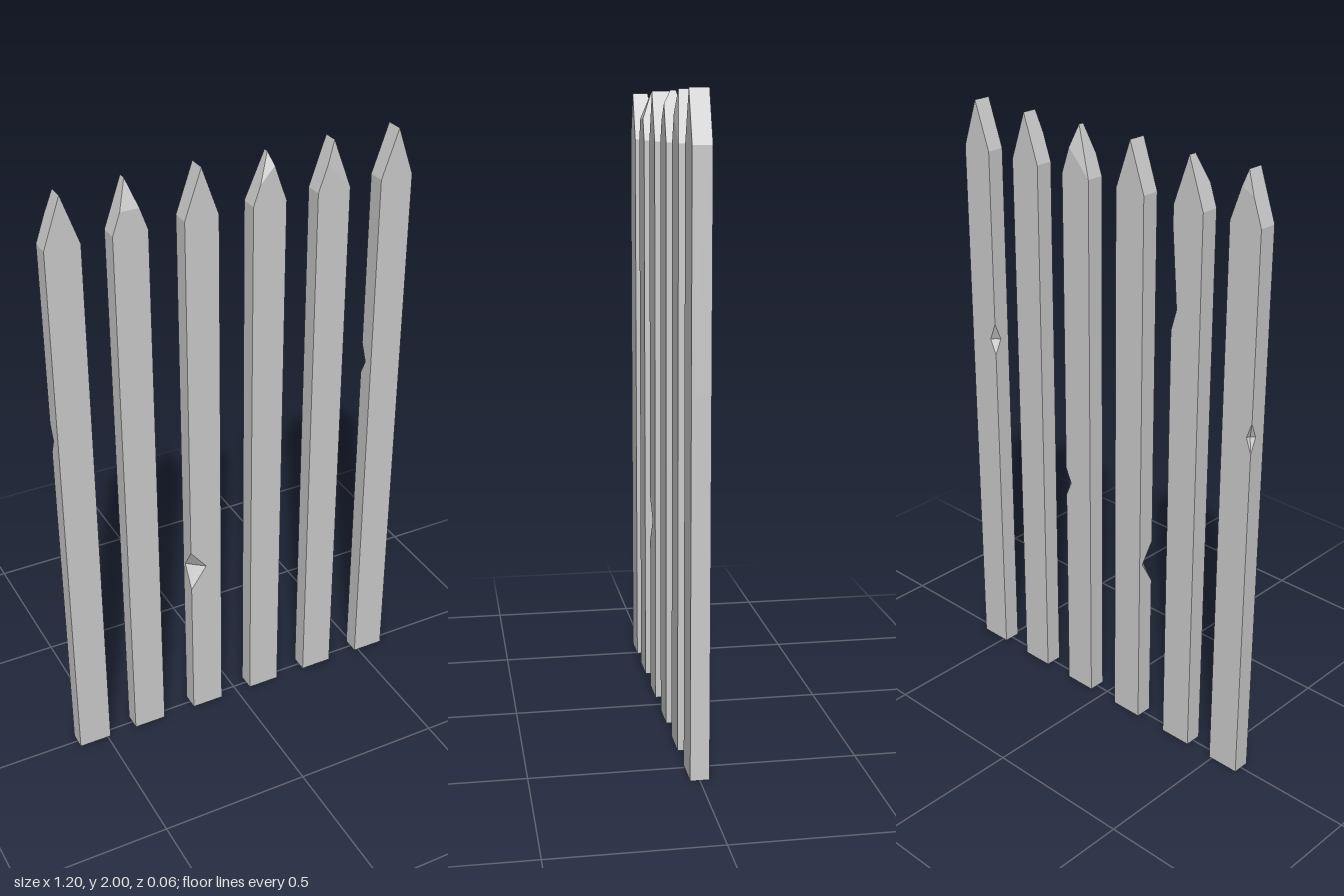
import * as THREE from 'three';
import { ConvexGeometry } from 'three/addons/geometries/ConvexGeometry.js';

const W = 0.055, D = 0.029;          // half width and half depth of a picket
const SHOULDER = 1.845, TOP = 2;

// chip: [z of ridge end, height of chip on the -x slope, height on the +x slope]
// notch: sx, sz pick the edge; y are bottom, deepest and top heights;
// p, q are the reach over the wide and narrow face; inset is the depth in x and z
const PICKETS = [
  { x: -0.545, back: [-0.022, 1.93, 1.95], notch: { sx: -1, sz: -1, y: [1.16, 1.21, 1.26], p: 0.018, q: 0.02, inset: [0.014, 0.012] } },
  { x: -0.34, front: [-0.003, 1.915, 1.915], notch: { sx: 1, sz: -1, y: [1.46, 1.53, 1.78], p: 0.02, q: 0.03, inset: [0.014, 0.014] } },
  { x: -0.117, notch: { sx: -1, sz: 1, y: [0.52, 0.6, 0.67], p: 0.055, q: 0.045, inset: [0.024, 0.024] } },
  { x: 0.105, front: [0.007, 1.91, 1.96], back: [-0.01, SHOULDER, 1.93], notch: { sx: 1, sz: -1, y: [0.74, 0.79, 0.84], p: 0.022, q: 0.026, inset: [0.016, 0.014] } },
  { x: 0.322, front: [0.02, 1.93, SHOULDER] },
  { x: 0.541, notch: { sx: -1, sz: -1, y: [1.15, 1.2, 1.26], p: 0.024, q: 0.024, inset: [0.016, 0.014] } },
];

// Pointed end (or a whole plain picket when base is 0)
function tipGeometry(base, front, back) {
  const pts = [];
  for (const [z, chip] of [[D, front], [-D, back]]) {
    for (const s of [-1, 1]) {
      pts.push(new THREE.Vector3(s * W, base, z), new THREE.Vector3(s * W, SHOULDER, z));
      const y = chip ? chip[s < 0 ? 1 : 2] : SHOULDER;
      if (y > SHOULDER) pts.push(new THREE.Vector3(s * W * (TOP - y) / (TOP - SHOULDER), y, z));
    }
    pts.push(new THREE.Vector3(0, TOP, chip ? chip[0] : z));
  }
  // drop doubled shoulder points when the base is the shoulder itself
  return new ConvexGeometry(pts.filter((p, i) => pts.findIndex(o => o.equals(p)) === i));
}

// Straight shaft with one splintered notch in a long edge
function shaftGeometry({ sx, sz, y, p, q, inset }) {
  const ring = (h, deep) => {
    const r = [
      [sx * (W - p), sz * D],
      deep ? [sx * (W - inset[0]), sz * (D - inset[1])] : [sx * W, sz * D],
      [sx * W, sz * (D - q)],
      [sx * W, -sz * D], [-sx * W, -sz * D], [-sx * W, sz * D],
    ].map(([px, pz]) => [px, h, pz]);
    return sx * sz < 0 ? r.reverse() : r;
  };
  const m = sx * sz < 0 ? 4 : 1;     // index of the notched corner
  const heights = [0, ...y, SHOULDER];
  const rings = heights.map((h, k) => ring(h, k === 2));
  const pos = [];
  const tri = (...corners) => corners.forEach(c => pos.push(...c));
  for (let k = 0; k < 4; k++) {
    for (let i = 0; i < 6; i++) {
      const j = (i + 1) % 6, lo = rings[k], up = rings[k + 1];
      // keep the outer faces flat: the diagonal runs from the sound edge to the notch side
      if ((k === 1 && j === m) || (k === 2 && i === m)) {
        tri(lo[i], lo[j], up[i]);
        tri(lo[j], up[j], up[i]);
      } else {
        tri(lo[i], lo[j], up[j]);
        tri(lo[i], up[j], up[i]);
      }
    }
  }
  // bottom face
  for (let n = 1; n < 5; n++) tri(rings[0][m], rings[0][(m + n + 1) % 6], rings[0][(m + n) % 6]);
  const g = new THREE.BufferGeometry();
  g.setAttribute('position', new THREE.Float32BufferAttribute(pos, 3));
  g.computeVertexNormals();
  return g;
}

export function createModel() {
  const model = new THREE.Group();
  model.name = 'picketRow';
  const wood = new THREE.MeshStandardMaterial({ color: 0xcccccc, flatShading: true });
  PICKETS.forEach(({ x, front, back, notch }, i) => {
    const picket = new THREE.Group();
    picket.name = `picket${i + 1}`;
    picket.position.x = x;
    const tip = new THREE.Mesh(tipGeometry(notch ? SHOULDER : 0, front, back), wood);
    tip.name = notch ? 'picketTip' : 'plainPicket';
    picket.add(tip);
    if (notch) {
      const shaft = new THREE.Mesh(shaftGeometry(notch), wood);
      shaft.name = 'picketShaft';
      picket.add(shaft);
    }
    model.add(picket);
  });
  return model;
}
